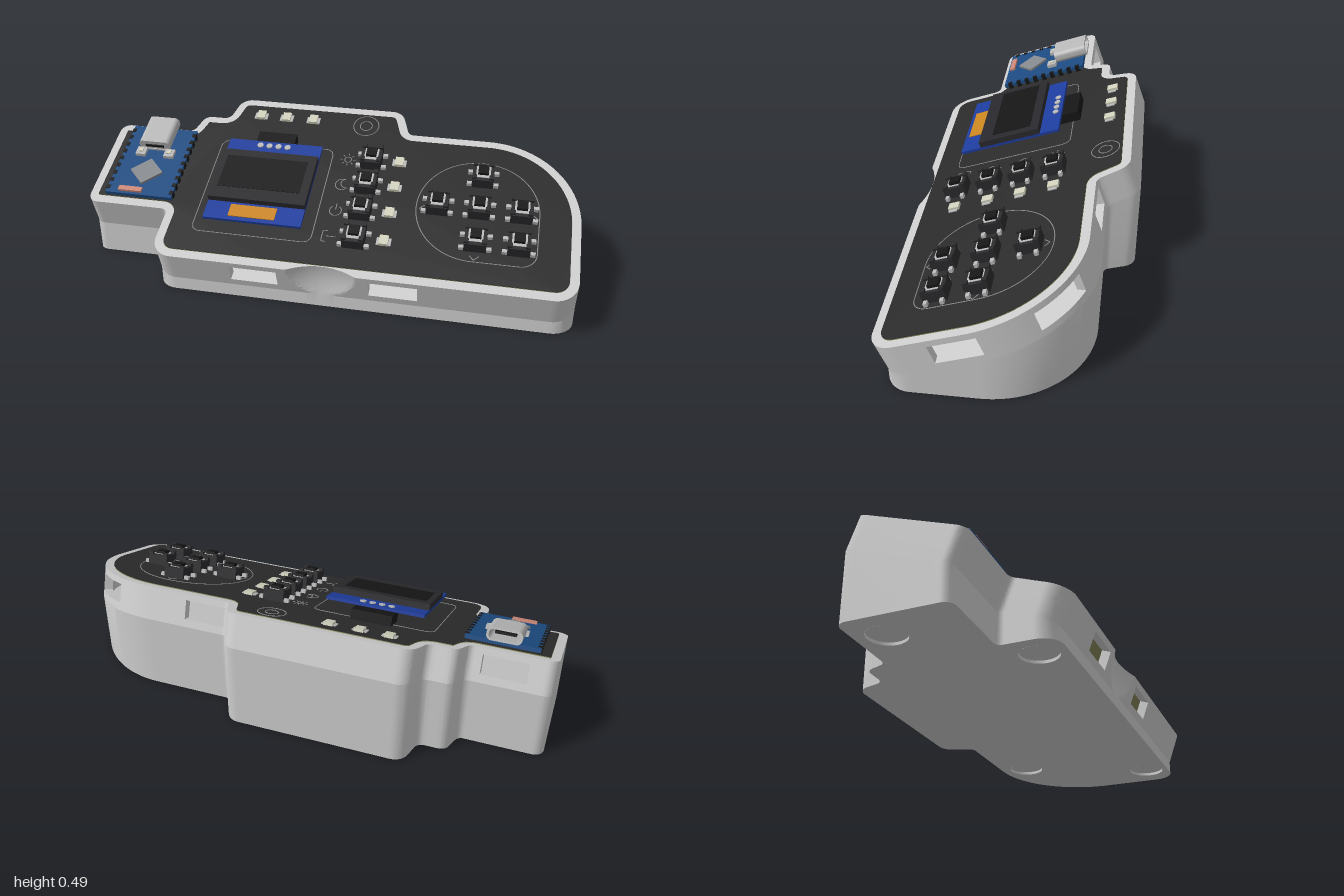
import * as THREE from 'three';
import { mergeGeometries, toCreasedNormals } from 'three/addons/utils/BufferGeometryUtils.js';

const TILT = Math.PI / 9, C = Math.cos(TILT), S = Math.sin(TILT);
const Y0 = 0.344, DEEP = -0.137, WALL = 0.035;
const mat = (color) => new THREE.MeshStandardMaterial({ color, side: THREE.DoubleSide });
const M = {
  shell: mat(0xcccccc), panel: mat(0x2b2b2c), edge: mat(0x8f8d60), black: mat(0x161617), cap: mat(0x2a2a2c),
  blue: mat(0x1d3c9c), board: mat(0x1c4a80), metal: mat(0xb8b8b8), orange: mat(0xc98420),
  silk: mat(0x999999), led: mat(0xd0d0bc), salmon: mat(0xc98676), chip: mat(0x85888c), glass: mat(0x29292d),
};

// Polygon of [x, z, radius] corners -> points with rounded corners, straight runs split finely
function rounded(corners, step = 0.01) {
  const out = [], n = corners.length;
  const add = (x, z) => {
    const last = out[out.length - 1];
    if (last) {
      const k = Math.floor(Math.hypot(x - last[0], z - last[1]) / step);
      for (let i = 1; i < k; i++) out.push([last[0] + (x - last[0]) * i / k, last[1] + (z - last[1]) * i / k]);
    }
    out.push([x, z]);
  };
  corners.forEach(([x, z, r], i) => {
    const P = new THREE.Vector2(x, z);
    const a = new THREE.Vector2(...corners[(i + n - 1) % n].slice(0, 2)).sub(P).normalize();
    const b = new THREE.Vector2(...corners[(i + 1) % n].slice(0, 2)).sub(P).normalize();
    const half = Math.acos(THREE.MathUtils.clamp(a.dot(b), -1, 1)) / 2;
    const c = a.clone().add(b).normalize().multiplyScalar(r / Math.sin(half)).add(P);
    const p0 = a.multiplyScalar(r / Math.tan(half)).add(P), p1 = b.multiplyScalar(r / Math.tan(half)).add(P);
    const t0 = Math.atan2(p0.y - c.y, p0.x - c.x);
    let dt = Math.atan2(p1.y - c.y, p1.x - c.x) - t0;
    dt = Math.atan2(Math.sin(dt), Math.cos(dt));
    const k = Math.max(8, Math.ceil(Math.abs(dt) * r / 0.012));
    for (let j = 0; j <= k; j++) add(c.x + r * Math.cos(t0 + dt * j / k), c.y + r * Math.sin(t0 + dt * j / k));
  });
  const first = out[0].slice();
  add(...first);
  out.pop();
  return out;
}

// Move a plan outline inwards
const inset = (pts, d) => pts.map(([x, z], i) => {
  const n = pts.length, p = pts[(i + n - 1) % n], q = pts[(i + 1) % n];
  const dx = q[0] - p[0], dz = q[1] - p[1], l = Math.hypot(dx, dz) || 1;
  return [x + dz / l * d, z - dx / l * d];
});

// Plan position plus height above the sloping top plane -> model space
const place = ([x, z], h) => [x, Y0 - z * S / C + h * C, z + h * S];

const OUTLINE = rounded([
  [-0.65, 0.445, 0.08], [1, 0.445, 0.09], [1, -0.285, 0.39], [0.27, -0.285, 0.03], [0.225, -0.41, 0.06],
  [-0.5, -0.41, 0.06], [-0.53, -0.29, 0.035], [-0.64, -0.29, 0.04], [-0.67, -0.2, 0.03],
  [-1, -0.2, 0.04], [-1, 0.225, 0.04], [-0.65, 0.225, 0.025],
]);

const inWindow = (x, z) =>
  (z > 0.43 && ((x > -0.335 && x < -0.145) || (x > 0.22 && x < 0.41))) ||
  (x > 0.98 && z > 0.07 && z < 0.245) || (x > 0.7 && z > -0.25 && z < -0.12) ||
  (z < -0.27 && x > 0.285 && x < 0.455) || (z < -0.18 && x > -0.9 && x < -0.72);

function shellGeometry() {
  const inner = inset(OUTLINE, WALL), n = OUTLINE.length;
  const levels = [0, -0.013, -0.026, -0.04, -0.053, -0.066, -0.079, -0.092, -0.105, -0.116, -0.126, DEEP];
  const open = OUTLINE.map((p, i) => {
    const q = OUTLINE[(i + 1) % n];
    return inWindow((p[0] + q[0]) / 2, (p[1] + q[1]) / 2);
  });
  // Thumb scoop pressed into the front wall
  const scoop = ([x, z], h) => z < 0.44 ? [x, z] :
    [x, z - 0.032 * Math.max(0, 1 - ((x - 0.037) ** 2 + h * h) / 0.0185)];
  const outs = levels.map((h) => OUTLINE.map((p) => place(scoop(p, h), h)));
  const ins = levels.map((h) => inner.map((p) => place(p, h)));
  const pos = [];
  const quad = (a, b, c, d) => pos.push(...a, ...b, ...c, ...a, ...c, ...d);
  const base = outs[outs.length - 1].map(([x, , z]) => [x, 0, z]);
  const top = 2, low = 8;
  for (let i = 0; i < n; i++) {
    const j = (i + 1) % n, L = levels.length - 1;
    quad(base[i], base[j], outs[L][j], outs[L][i]);
    quad(outs[0][i], outs[0][j], ins[0][j], ins[0][i]);
    for (let k = 0; k < L; k++) {
      if (open[i] && k >= top && k < low) continue;
      quad(outs[k + 1][i], outs[k + 1][j], outs[k][j], outs[k][i]);
      quad(ins[k][i], ins[k][j], ins[k + 1][j], ins[k + 1][i]);
    }
    // Window reveals
    if (open[i]) {
      quad(outs[low][i], outs[low][j], ins[low][j], ins[low][i]);
      quad(ins[top][i], ins[top][j], outs[top][j], outs[top][i]);
    }
    if (open[i] !== open[j]) {
      const f = [outs[low][j], outs[top][j], ins[top][j], ins[low][j]];
      quad(...(open[i] ? f : f.reverse()));
    }
  }
  const g = new THREE.BufferGeometry();
  g.setAttribute('position', new THREE.Float32BufferAttribute(pos, 3));
  return toCreasedNormals(g, 0.3);
}

export function createModel() {
  const model = new THREE.Group();
  model.name = 'handheldController';
  const tilt = new THREE.Group();
  tilt.name = 'slopingTop';
  tilt.position.y = Y0;
  tilt.rotation.x = TILT;
  model.add(tilt);
  const mesh = (name, geo, material, parent = tilt) => {
    const m = new THREE.Mesh(geo, material);
    m.name = name;
    parent.add(m);
    return m;
  };
  // Box on the slope: plan centre x, z, heights h0..h1, plan size sx, sz
  const box = (name, m, x, z, h0, h1, sx, sz) => {
    const b = mesh(name, new THREE.BoxGeometry(sx, h1 - h0, sz / C), m);
    b.position.set(x, (h0 + h1) / 2, (z - S * h1) / C);
    return b;
  };

  // Case shell, inner floor, underside with four round foot recesses
  mesh('caseShell', shellGeometry(), M.shell, model);
  const plan = (pts) => new THREE.Shape(pts.map(([x, z]) => new THREE.Vector2(x, -z / C)));
  const floor = mesh('innerFloor', new THREE.ShapeGeometry(plan(inset(OUTLINE, 0.02))).rotateX(-Math.PI / 2), M.shell);
  floor.position.y = DEEP + 0.004;
  const under = new THREE.Shape(OUTLINE.map(([x, z]) => new THREE.Vector2(x, z + DEEP * S)));
  for (const [x, z] of [[0.85, 0.3], [0.62, -0.22], [-0.53, 0.29], [-0.86, -0.13]]) {
    under.holes.push(new THREE.Path().absarc(x, z, 0.075, 0, Math.PI * 2, true));
    const rim = new THREE.CylinderGeometry(0.075, 0.075, 0.012, 32, 1, true).translate(x, 0.006, z);
    const disc = new THREE.CircleGeometry(0.075, 32).rotateX(Math.PI / 2).translate(x, 0.012, z);
    mesh('footRecess', mergeGeometries([rim, disc]), M.shell, model);
  }
  mesh('underside', new THREE.ShapeGeometry(under, 24).rotateX(Math.PI / 2), M.shell, model);

  // Circuit board with dark face
  const slab = (name, m, h0, h1) => {
    const g = new THREE.ExtrudeGeometry(plan(inset(OUTLINE, WALL + 0.001)), { depth: h1 - h0, bevelEnabled: false });
    mesh(name, g.rotateX(-Math.PI / 2).translate(0, h0, 0), m);
  };
  slab('circuitBoard', M.edge, -0.02, 0.003);
  slab('facePanel', M.panel, 0.003, 0.005);

  // Printed lines
  const line = (pts, closed = false) => {
    const curve = new THREE.CatmullRomCurve3(pts.map(([x, z]) => new THREE.Vector3(x, 0.005, z / C)), closed, 'catmullrom', 0.1);
    mesh('printedLine', new THREE.TubeGeometry(curve, Math.max(24, pts.length), 0.002, 4, closed), M.silk);
  };
  const arc = (x, z, r, a0 = 0, a1 = 2 * Math.PI) =>
    line(Array.from({ length: 25 }, (_, i) => [x + r * Math.cos(a0 + (a1 - a0) * i / 24), z + r * Math.sin(a0 + (a1 - a0) * i / 24)]));
  line(rounded([[-0.52, 0.315, 0.03], [-0.03, 0.315, 0.03], [-0.03, -0.16, 0.03], [-0.52, -0.16, 0.03]], 0.03), true);
  line(rounded([[0.355, 0.32, 0.24], [0.84, 0.32, 0.06], [0.84, -0.16, 0.24], [0.355, -0.16, 0.24]], 0.03), true);
  arc(0.08, -0.31, 0.055);
  arc(0.08, -0.31, 0.026);
  arc(0.038, -0.115, 0.014);
  for (let i = 0; i < 8; i++) {
    const c = Math.cos(i * Math.PI / 4), s = Math.sin(i * Math.PI / 4);
    line([[0.038 + 0.022 * c, -0.115 + 0.022 * s], [0.038 + 0.032 * c, -0.115 + 0.032 * s]]);
  }
  arc(0.038, 0.017, 0.027, 0.6, 5.2);
  arc(0.055, 0.01, 0.022, 1.4, 4.4);
  arc(0.038, 0.15, 0.024, -1, 4.1);
  line([[0.038, 0.115], [0.038, 0.145]]);
  line([[0.03, 0.25], [0.01, 0.25], [0.01, 0.3], [0.03, 0.3]]);
  line([[0.025, 0.275], [0.065, 0.275]]);
  for (const [x, z, dx, dz] of [[0.605, -0.145, 0, 1], [0.37, 0.097, 1, 0], [0.835, 0.097, -1, 0], [0.605, 0.312, 0, -1]])
    line([[x + (dx + dz) * 0.018, z + (dz + dx) * 0.018], [x, z], [x + (dx - dz) * 0.018, z + (dz - dx) * 0.018]]);

  // Push buttons with metal legs
  const column = [-0.1, 0.03, 0.16, 0.295];
  const buttons = [...column.map((z) => [0.14, z]),
    [0.605, -0.06], [0.44, 0.097], [0.605, 0.097], [0.77, 0.097], [0.605, 0.25], [0.77, 0.25]];
  for (const [x, z] of buttons) {
    box('buttonBody', M.cap, x, z, 0.005, 0.05, 0.086, 0.086);
    box('buttonPlate', M.metal, x, z, 0.05, 0.052, 0.058, 0.058);
    box('buttonStem', M.black, x, z, 0.052, 0.064, 0.042, 0.042);
    for (const sx of [-1, 1]) for (const sz of [-1, 1]) {
      box('buttonCorner', M.cap, x + sx * 0.034, z + sz * 0.034, 0.05, 0.06, 0.018, 0.018);
      box('buttonLeg', M.metal, x + sx * 0.052, z - 0.008 + sz * 0.03, 0.005, 0.02, 0.022, 0.014);
    }
  }

  // Small lamps
  for (const [x, z] of [...column.map((z) => [0.255, z - 0.017]), [-0.39, -0.31], [-0.275, -0.31], [-0.155, -0.31]]) {
    box('lampBase', M.metal, x, z, 0.005, 0.009, 0.058, 0.034);
    box('lamp', M.led, x, z, 0.005, 0.018, 0.036, 0.042);
  }

  // Display module
  box('displayHeader', M.black, -0.278, -0.13, 0.005, 0.046, 0.165, 0.09);
  box('displayBoard', M.blue, -0.27, 0.1, 0.046, 0.058, 0.4, 0.412);
  box('displayFrame', M.glass, -0.27, 0.105, 0.058, 0.083, 0.4, 0.25);
  box('displayScreen', M.black, -0.275, 0.096, 0.083, 0.085, 0.34, 0.16);
  box('displayRibbon', M.orange, -0.275, 0.263, 0.058, 0.062, 0.19, 0.056);
  for (let i = 0; i < 4; i++) {
    const pin = mesh('displayPin', new THREE.CylinderGeometry(0.013, 0.013, 0.006, 16), M.metal);
    pin.position.set(-0.332 + i * 0.039, 0.06, (-0.08 - S * 0.063) / C);
  }

  // Microcontroller board with socket, chip and edge pads
  box('controllerBoard', M.board, -0.783, 0.02, 0.014, 0.03, 0.285, 0.365);
  for (const s of [-1, 1]) {
    for (let i = 0; i < 9; i++) {
      box('edgePad', M.black, -0.783 + s * 0.137, -0.135 + i * 0.039, 0.005, 0.032, 0.016, 0.018);
    }
    box('controllerKey', M.metal, -0.78 + s * 0.062, -0.012, 0.03, 0.045, 0.042, 0.04);
    box('controllerKeyTop', M.led, -0.78 + s * 0.062, -0.012, 0.045, 0.05, 0.018, 0.018);
  }
  const chip = box('controllerChip', M.chip, -0.785, 0.087, 0.03, 0.04, 0.1, 0.1 * C);
  chip.rotation.y = Math.PI / 4;
  box('statusPart', M.salmon, -0.822, 0.185, 0.03, 0.04, 0.1, 0.022);
  // Rounded metal socket shell with hollow mouth facing back
  const pill = (w, h, r, P) => {
    const p = new P();
    p.absarc(w / 2 - r, h / 2 - r, r, 0, Math.PI / 2).absarc(-w / 2 + r, h / 2 - r, r, Math.PI / 2, Math.PI);
    p.absarc(-w / 2 + r, -h / 2 + r, r, Math.PI, Math.PI * 1.5).absarc(w / 2 - r, -h / 2 + r, r, Math.PI * 1.5, Math.PI * 2);
    return p;
  };
  const mouth = pill(0.134, 0.052, 0.02, THREE.Shape);
  mouth.holes.push(pill(0.116, 0.036, 0.014, THREE.Path));
  const socket = mesh('socketShell', new THREE.ExtrudeGeometry(mouth, { depth: 0.15, bevelEnabled: false, curveSegments: 6 }), M.metal);
  socket.position.set(-0.787, 0.056, (-0.16 - S * 0.082) / C);
  box('socketTongue', M.black, -0.787, -0.08, 0.051, 0.061, 0.08, 0.11);
  box('socketBack', M.metal, -0.787, -0.03, 0.037, 0.075, 0.118, 0.01);
  return model;
}
